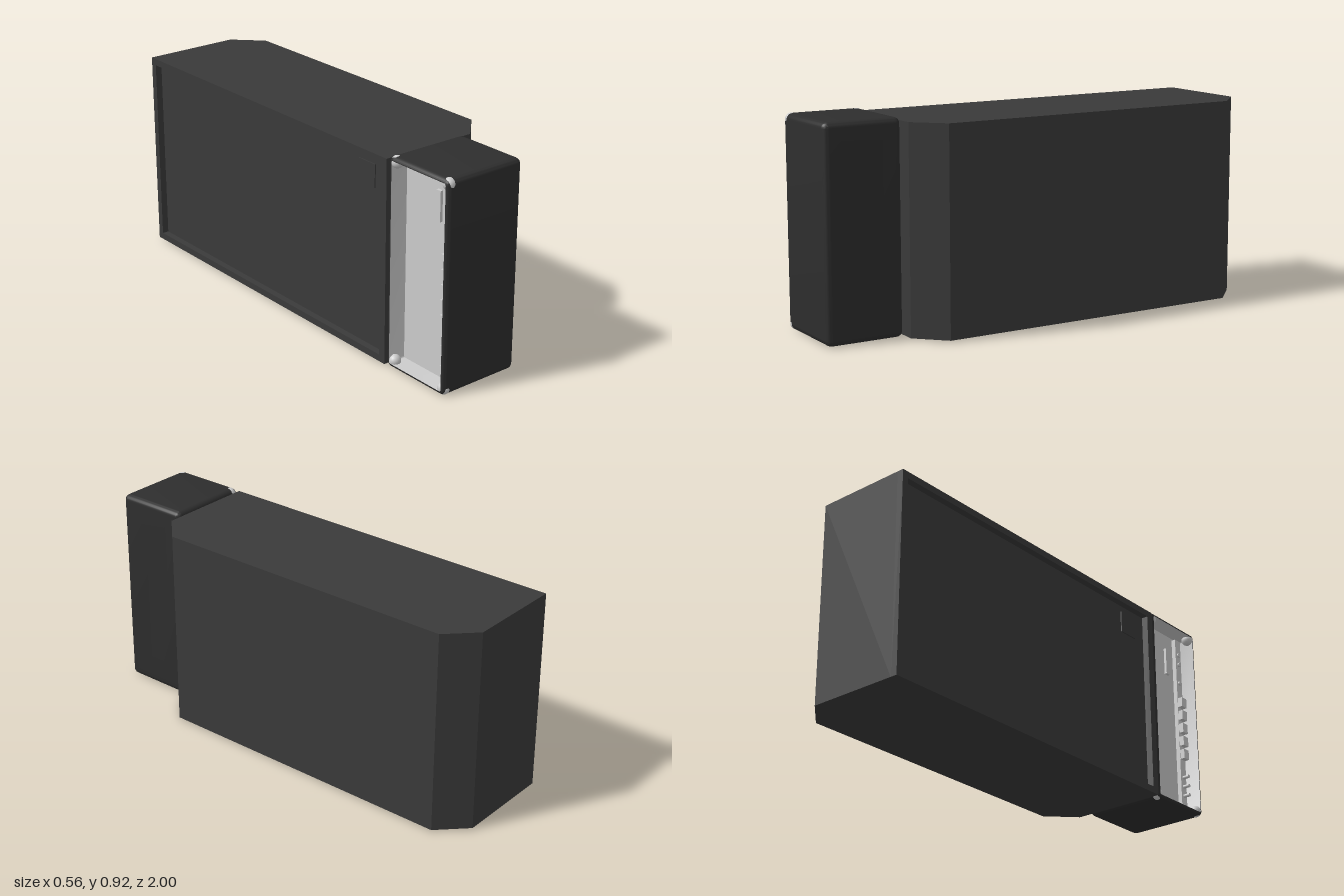
import * as THREE from 'three';
import { toCreasedNormals } from 'three/addons/utils/BufferGeometryUtils.js';

const mat = (color) => new THREE.MeshStandardMaterial({ color });
const bodyMat = mat(0x3a3a3a), shellMat = mat(0x2e2e2e), grey = mat(0xcccccc);

// Control box extents: x from X0 to X1, centred at CZ / CY
const X0 = -0.275, X1 = 0.11, CY = 0.4575, CZ = 0.8275, HY = 0.4575, HZ = 0.1725, R = 0.025;

function add(parent, name, geometry, material, x = 0, y = 0, z = 0) {
  const mesh = new THREE.Mesh(geometry, material);
  mesh.name = name;
  mesh.position.set(x, y, z);
  parent.add(mesh);
  return mesh;
}

// Rounded rectangle in the z-y plane, shrunk by an inset
function loop(x, inset) {
  const hz = Math.max(HZ - inset, 0), hy = HY - inset, r = Math.max(R - inset, 0);
  const pts = [];
  for (let c = 0; c < 4; c++) {
    const sz = c === 0 || c === 3 ? 1 : -1, sy = c < 2 ? 1 : -1;
    for (let k = 0; k <= 6; k++) {
      const a = (c + k / 6) * Math.PI / 2;
      pts.push([x, CY + sy * (hy - r) + r * Math.sin(a), CZ + sz * (hz - r) + r * Math.cos(a)]);
    }
  }
  return pts;
}

// Skin a list of [x, inset] stations
function loft(stations) {
  const loops = stations.map(([x, inset]) => loop(x, inset));
  const n = loops[0].length, pos = loops.flat(2), index = [];
  for (let i = 0; i < loops.length - 1; i++) {
    for (let j = 0; j < n; j++) {
      const a = i * n + j, b = i * n + (j + 1) % n;
      index.push(a, b, a + n, b, b + n, a + n);
    }
  }
  const g = new THREE.BufferGeometry();
  g.setAttribute('position', new THREE.Float32BufferAttribute(pos, 3));
  g.setIndex(index);
  return toCreasedNormals(g, 0.6);
}

export function createModel() {
  const model = new THREE.Group();

  // Main cabinet with two chamfered corners
  const cabinet = new THREE.Group();
  cabinet.name = 'cabinet';
  model.add(cabinet);
  const plan = new THREE.Shape([
    [-0.25, -1], [0.16, -1], [0.28, -0.88], [0.28, 0.53], [0.16, 0.65], [-0.25, 0.65],
  ].map(([x, z]) => new THREE.Vector2(x, z)));
  const bodyGeo = new THREE.ExtrudeGeometry(plan, { depth: 0.895, bevelEnabled: false });
  bodyGeo.rotateX(Math.PI / 2);
  add(cabinet, 'cabinetBody', bodyGeo, bodyMat, 0, 0.9, 0);

  // Raised frame around the recessed side panel
  const rect = (T, z0, z1, y0, y1) => new T([[z0, y0], [z1, y0], [z1, y1], [z0, y1]]
    .map(([z, y]) => new THREE.Vector2(z, y)));
  const frame = rect(THREE.Shape, -1, 0.65, 0.005, 0.9);
  frame.holes.push(rect(THREE.Path, -0.97, 0.615, 0.035, 0.87));
  const frameGeo = new THREE.ExtrudeGeometry(frame, { depth: 0.03, bevelEnabled: false });
  frameGeo.rotateY(-Math.PI / 2);
  add(cabinet, 'panelFrame', frameGeo, bodyMat, -0.25, 0, 0);
  add(cabinet, 'panelLatch', new THREE.BoxGeometry(0.006, 0.1, 0.1), bodyMat, -0.252, 0.79, 0.5);

  // Rounded control box, open on one side
  const box = new THREE.Group();
  box.name = 'controlBox';
  model.add(box);
  const outer = [[X1, HZ]], steps = 6;
  for (let k = 0; k <= steps; k++) {
    const a = k / steps * Math.PI / 2;
    outer.push([X1 - R + R * Math.cos(a), R * (1 - Math.sin(a))]);
  }
  for (let k = 0; k <= steps; k++) {
    const a = k / steps * Math.PI / 2;
    outer.push([X0 + R - R * Math.sin(a), R * (1 - Math.cos(a)) * 0.7]);
  }
  add(box, 'boxShell', loft(outer), shellMat);

  // Grey cavity lining and back plate
  const floorX = X0 + 0.08;
  add(box, 'cavityLining', loft([[X0, 0.0175], [floorX, 0.019], [floorX, HZ]]), grey);
  box.getObjectByName('boxShell').geometry.computeBoundingBox();

  // Grey corner caps on the open edge
  for (const sy of [-1, 1]) {
    for (const sz of [-1, 1]) {
      add(box, 'cornerCap', new THREE.SphereGeometry(0.0265, 16, 12), grey,
        X0 + R, CY + sy * (HY - R), CZ + sz * (HZ - R));
    }
  }

  // Connector strip, sockets, pins and slot inside the cavity
  const stripZ = 0.945;
  add(box, 'connectorStrip', new THREE.BoxGeometry(0.02, 0.86, 0.04), grey, floorX - 0.01, CY, stripZ);
  const peg = (name, r, len, y, z) => {
    add(box, name, new THREE.CylinderGeometry(r, r, len, 16), grey, floorX - 0.02 - len / 2, y, z)
      .rotation.z = Math.PI / 2;
  };
  for (let i = 0; i < 5; i++) {
    add(box, 'socket', new THREE.BoxGeometry(0.025, 0.045, 0.036), grey,
      floorX - 0.03, 0.56 - i * 0.065, stripZ);
  }
  for (const y of [0.19, 0.145, 0.1]) peg('pin', 0.008, 0.03, y, stripZ);
  for (const y of [0.81, 0.76, 0.665]) peg('indicator', 0.01, 0.008, y, stripZ);
  add(box, 'slot', new THREE.BoxGeometry(0.012, 0.13, 0.025), grey, floorX - 0.006, 0.755, 0.87);

  return model;
}
